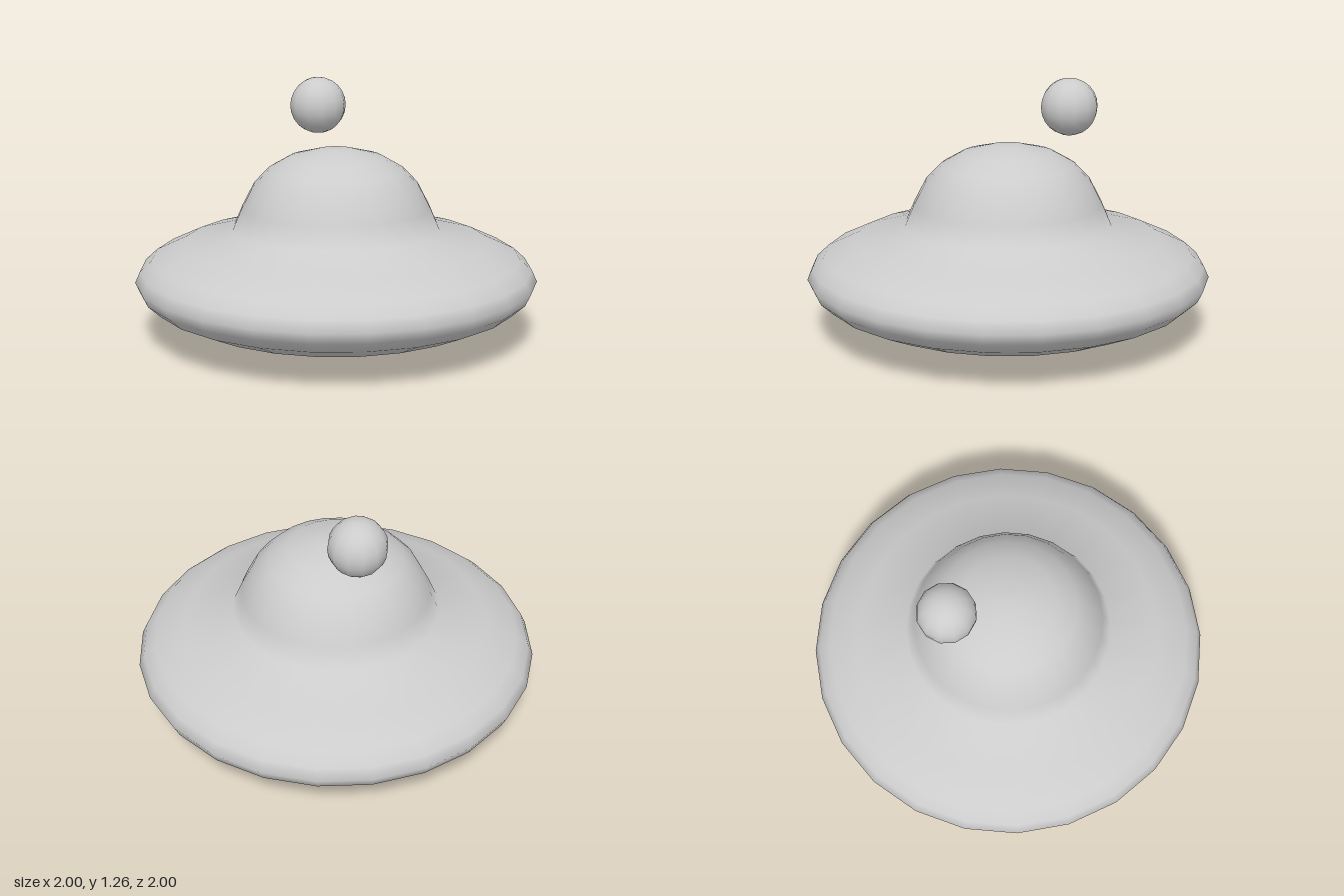
import * as THREE from 'three';

export function createModel() {
  const group = new THREE.Group();
  const material = new THREE.MeshStandardMaterial({ color: 0xcccccc });

  const add = (name, geometry, position = [0, 0, 0]) => {
    const mesh = new THREE.Mesh(geometry, material);
    mesh.name = name;
    mesh.position.set(...position);
    group.add(mesh);
  };

  // Saucer hull and dome turned as one continuous profile, bottom to top
  const profile = [
    [0, 0], [0.47, 0.04], [0.75, 0.115], [0.915, 0.19], [0.975, 0.245],
    [1, 0.3], [0.975, 0.355], [0.915, 0.41], [0.755, 0.485], [0.515, 0.55],
    [0.47, 0.655], [0.41, 0.77], [0.335, 0.848], [0.23, 0.908], [0.09, 0.943], [0, 0.947],
  ].map(([r, y]) => new THREE.Vector2(r, y));
  add('saucerBody', new THREE.LatheGeometry(profile, 24));

  // Small ball hovering above the rear of the dome
  add('floatingBall', new THREE.SphereGeometry(0.143, 12, 12), [-0.047, 1.12, -0.315]);

  return group;
}
